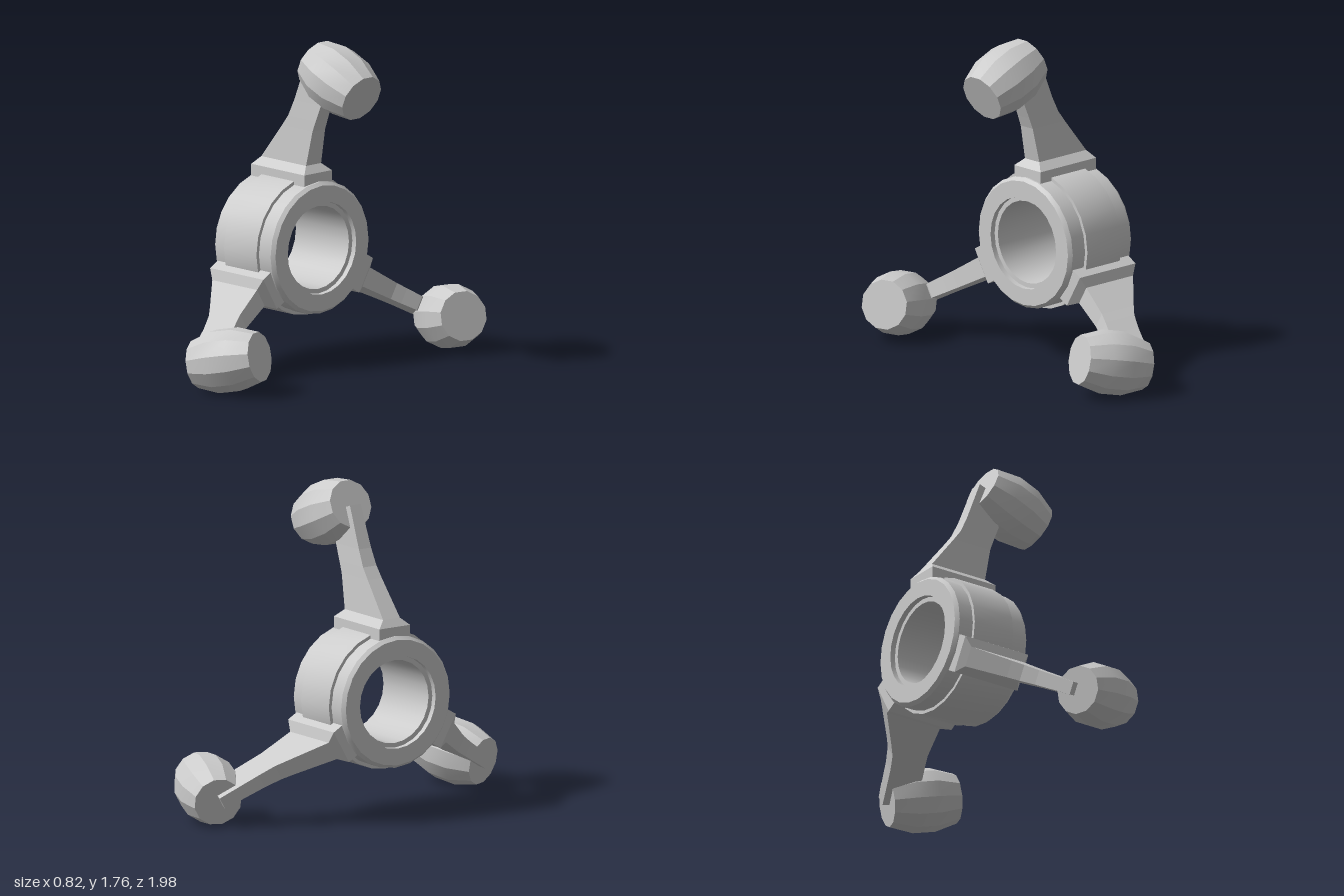
import * as THREE from 'three';
import { toCreasedNormals } from 'three/addons/utils/BufferGeometryUtils.js';

const material = new THREE.MeshStandardMaterial({ color: 0xcccccc });

function part(name, geometry) {
  const mesh = new THREE.Mesh(geometry, material);
  mesh.name = name;
  return mesh;
}

// Lathe around the x axis from [radius, x] pairs.
function turned(profile, sides, phase = 0) {
  const points = profile.map(([r, x]) => new THREE.Vector2(r, x));
  const geometry = new THREE.LatheGeometry(points, sides, phase);
  geometry.rotateZ(-Math.PI / 2);
  return toCreasedNormals(geometry, 0.5);
}

// Rectangular loft along y; each section is [y, xLeft, xRight, half thickness, extra y on the left].
function armGeometry(sections) {
  const positions = [];
  const index = [];
  for (const [y, x0, x1, h, lift = 0] of sections) {
    positions.push(x0, y + lift, h, x1, y, h, x1, y, -h, x0, y + lift, -h);
  }
  for (let s = 0; s < sections.length - 1; s++) {
    for (let i = 0; i < 4; i++) {
      const a = s * 4 + i;
      const b = s * 4 + (i + 1) % 4;
      index.push(a, b, b + 4, a, b + 4, a + 4);
    }
  }
  const t = (sections.length - 1) * 4;
  index.push(0, 2, 1, 0, 3, 2, t, t + 1, t + 2, t, t + 2, t + 3);
  const geometry = new THREE.BufferGeometry();
  geometry.setAttribute('position', new THREE.Float32BufferAttribute(positions, 3));
  geometry.setIndex(index);
  const flat = geometry.toNonIndexed();
  flat.computeVertexNormals();
  return flat;
}

export function createModel() {
  const model = new THREE.Group();
  const spider = new THREE.Group();
  spider.name = 'spider';
  spider.position.set(0, 0.645, 0.007);
  model.add(spider);

  // Hub sleeve with chamfered rims and a stepped bore
  spider.add(part('hub', turned([
    [0.25, -0.41], [0.34, -0.41], [0.357, -0.39], [0.357, 0.035], [0.34, 0.055],
    [0.25, 0.055], [0.25, 0.025], [0.225, 0.025], [0.225, -0.38], [0.25, -0.38], [0.25, -0.41],
  ], 24)));

  // Raised band round the hub
  spider.add(part('hubBand', turned([
    [0.34, -0.305], [0.375, -0.305], [0.375, -0.055], [0.34, -0.055],
  ], 24)));

  const arm = armGeometry([
    [0.325, -0.385, 0.025, 0.1],
    [0.405, -0.385, 0.025, 0.1],
    [0.445, -0.355, -0.01, 0.055],
    [0.635, -0.205, 0.03, 0.046],
    [0.695, -0.16, 0.053, 0.044],
    [0.785, -0.117, 0.09, 0.04],
    [0.985, -0.03, 0.03, 0.035, 0.022],
  ]);

  // Barrel roller with twelve flat staves
  const roller = turned([
    [0, 0], [0.131, 0], [0.171, 0.126], [0.171, 0.252], [0.134, 0.377], [0, 0.377],
  ], 12, Math.PI / 12);

  // Three arms, each carrying a tilted roller
  for (let i = 0; i < 3; i++) {
    const unit = new THREE.Group();
    unit.name = 'armUnit' + (i + 1);
    unit.rotation.x = i * 2 * Math.PI / 3;
    unit.add(part('arm', arm));
    const barrel = part('roller', roller);
    barrel.position.set(0.012, 1.005, 0);
    barrel.rotation.z = -0.394;
    unit.add(barrel);
    spider.add(unit);
  }
  return model;
}
